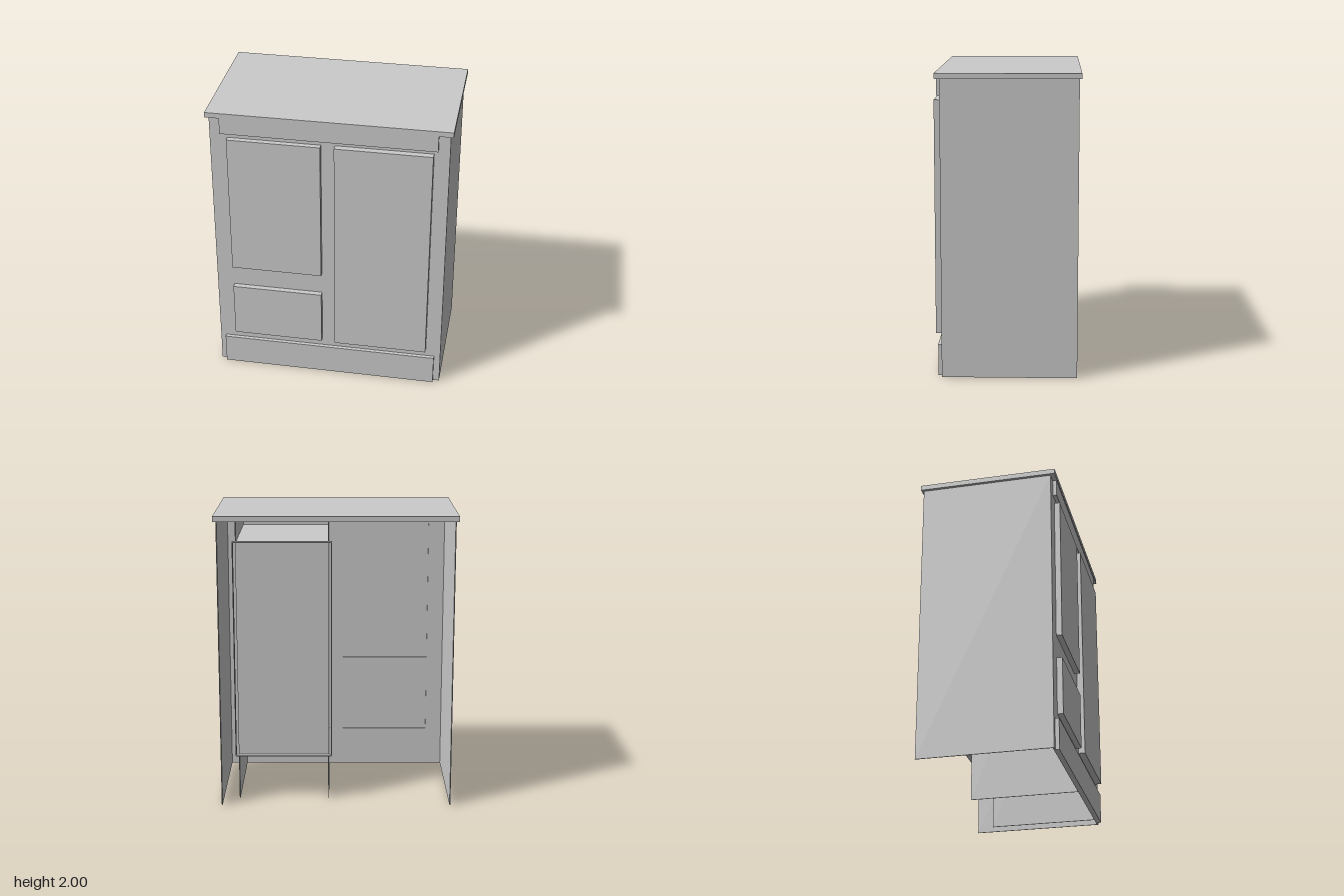
import * as THREE from 'three';

const mat = new THREE.MeshStandardMaterial({ color: 0xcccccc, side: THREE.DoubleSide });
const T = 0.006; // thin sheet thickness

export function createModel() {
  const g = new THREE.Group();

  // box given by its min/max on every axis
  const box = (name, x0, x1, y0, y1, z0, z1) => {
    const m = new THREE.Mesh(new THREE.BoxGeometry(x1 - x0, y1 - y0, z1 - z0), mat);
    m.position.set((x0 + x1) / 2, (y0 + y1) / 2, (z0 + z1) / 2);
    m.name = name;
    g.add(m);
  };
  const rect = (P, x0, x1, y0, y1) => {
    const p = new P();
    p.moveTo(x0, y0); p.lineTo(x1, y0); p.lineTo(x1, y1); p.lineTo(x0, y1); p.closePath();
    return p;
  };

  // worktop and the two cabinet sides
  box('worktop', -0.807, 0.805, 1.965, 2, -0.475, 0.462);
  box('rightSide', -0.788, -0.788 + T, 0, 1.965, -0.46, 0.43);
  box('leftSide', 0.785 - T, 0.785, 0, 1.965, -0.46, 0.43);

  // doors and drawer: x0, x1, y0, y1, front z
  const fronts = {
    smallDoor: [-0.67, -0.05, 0.82, 1.815, 0.468],
    drawerFront: [-0.67, -0.05, 0.27, 0.66, 0.468],
    tallDoor: [0.042, 0.683, 0.27, 1.82, 0.475],
  };

  // front frame with an opening behind each door
  const face = rect(THREE.Shape, -0.788, 0.785, 0, 1.965);
  for (const [name, [x0, x1, y0, y1, z]] of Object.entries(fronts)) {
    face.holes.push(rect(THREE.Path, x0 + 0.002, x1 - 0.002, y0 + 0.002, y1 - 0.002));
    box(name, x0, x1, y0, y1, 0.43, z);
  }
  const frame = new THREE.Mesh(new THREE.ExtrudeGeometry(face, { depth: 0.01, bevelEnabled: false }), mat);
  frame.position.z = 0.42;
  frame.name = 'frontFrame';
  g.add(frame);

  // boards along the head and foot of the front
  box('headBoard', -0.715, 0.71, 1.85, 1.965, 0.43, 0.456);
  box('kickBoard', -0.75, 0.742, 0, 0.21, 0.43, 0.456);

  // inner closet behind the tall door, open space on both sides
  const xa = 0.05, xb = 0.668, ya = 0.31, yb = 1.8, zb = -0.32;
  for (const x of [xa, xb]) box('partition', x - T / 2, x + T / 2, 0, 1.965, zb, 0.42);
  for (const y of [ya, yb]) box('closetShelf', xa, xb, y, y + T, zb, 0.42);
  box('closetBack', xa, xb, ya, yb, zb, zb + T);

  // shallow rim around the closet back
  const ra = xa - 0.02, rb = xb + 0.02, zr = zb - 0.035;
  for (const x of [ra, rb]) box('closetRimSide', x - T / 2, x + T / 2, ya + 0.01, yb + 0.01, zr, zb);
  for (const y of [ya + 0.01, yb + 0.01]) box('closetRimRail', ra, rb, y - T / 2, y + T / 2, zr, zb);

  return g;
}
